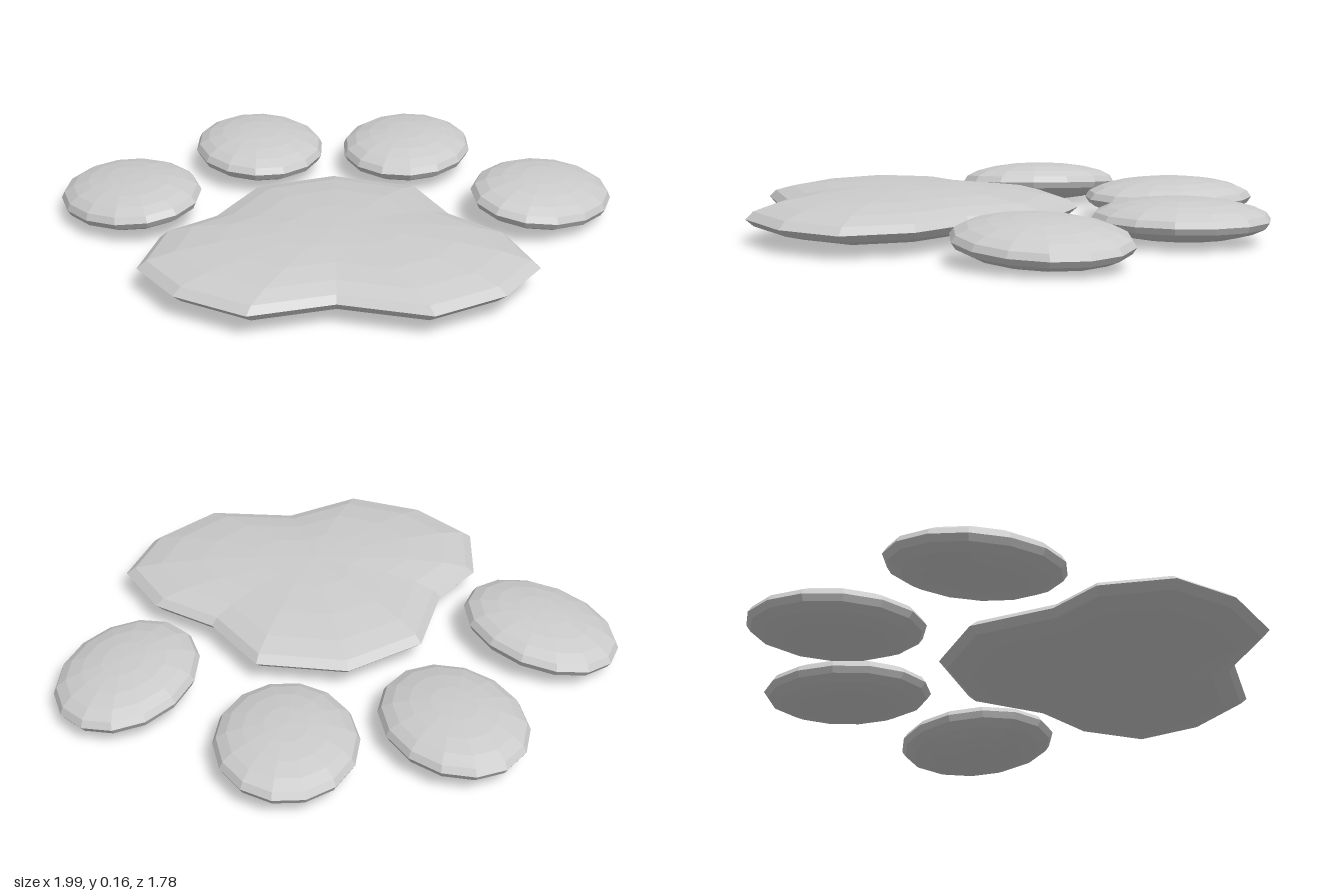
import * as THREE from 'three';

const SIDES = 14, ROWS = 10;
const MID_Y = 0.09;
const material = new THREE.MeshStandardMaterial({ color: 0xcccccc, flatShading: true });

// Toe: flattened ellipsoid, turned outwards and tilted towards its outer edge
function makeToe(name, x, z, halfWidth, halfLength, yaw, tilt) {
  const geometry = new THREE.SphereGeometry(1, SIDES, ROWS);
  geometry.scale(halfWidth, 0.073, halfLength);
  const toe = new THREE.Mesh(geometry, material);
  toe.name = name;
  toe.position.set(x, MID_Y, z);
  toe.rotation.set(0, yaw, tilt, 'ZYX');
  return toe;
}

// Main pad: sphere whose rings follow a lobed outline around a centre
function makePad() {
  // Outline (x, z) from the right side through the front, left side and back
  const outline = [
    [-0.655, 0.53], [-0.52, 0.74], [-0.28, 0.885], [0, 0.8], [0.305, 0.885],
    [0.54, 0.74], [0.67, 0.53], [0.59, 0.29], [0.41, 0.12], [0.295, -0.145],
    [-0.01, -0.25], [-0.295, -0.14], [-0.435, 0.14], [-0.6, 0.275],
  ];
  const centreX = 0, centreZ = 0.37;
  const geometry = new THREE.SphereGeometry(1, SIDES, ROWS);
  const pos = geometry.attributes.position;
  for (let i = 0; i < pos.count; i++) {
    const [x, z] = outline[(i % (SIDES + 1)) % SIDES];
    const angle = Math.floor(i / (SIDES + 1)) / ROWS * Math.PI;
    const r = Math.sin(angle);
    pos.setXYZ(i, centreX + (x - centreX) * r, Math.cos(angle) * 0.082, centreZ + (z - centreZ) * r);
  }
  geometry.computeVertexNormals();
  const pad = new THREE.Mesh(geometry, material);
  pad.name = 'mainPad';
  pad.position.y = MID_Y;
  return pad;
}

export function createModel() {
  const group = new THREE.Group();
  group.name = 'paw';
  group.add(makePad());

  // Two inner and two outer toes
  for (const side of [-1, 1]) {
    const label = side > 0 ? 'left' : 'right';
    group.add(makeToe(label + 'InnerToe', side > 0 ? 0.27 : -0.293, -0.592, 0.242, 0.31, -side * 0.16, 0));
    group.add(makeToe(label + 'OuterToe', side * 0.738, -0.117, 0.244, 0.31, -side * 0.46, -side * 0.1));
  }
  return group;
}
